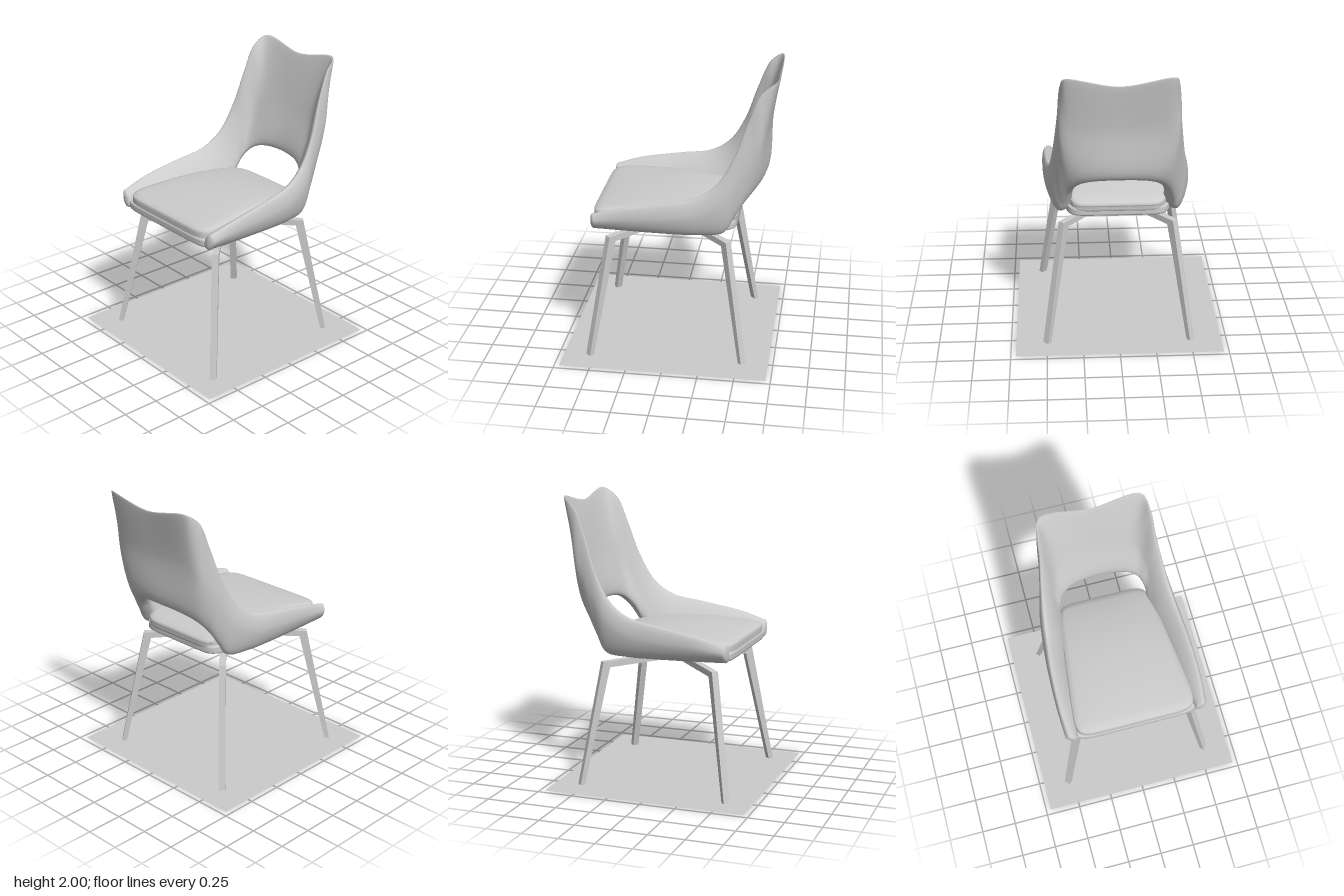
import * as THREE from 'three';
import { mergeVertices } from 'three/addons/utils/BufferGeometryUtils.js';

const grey = new THREE.MeshStandardMaterial({ color: 0xcccccc });
const greyThin = new THREE.MeshStandardMaterial({ color: 0xcccccc, side: THREE.DoubleSide });

function add(parent, name, geometry, material = grey) {
  const mesh = new THREE.Mesh(geometry, material);
  mesh.name = name;
  parent.add(mesh);
  return mesh;
}

// Rails of the shell, from the front of the left arm to the middle of the back
const topRim = [
  [.48, 1.06, .5], [.495, 1.11, .32], [.485, 1.165, .02], [.46, 1.21, -.2], [.44, 1.31, -.34],
  [.42, 1.5, -.45], [.395, 1.73, -.53], [.38, 1.92, -.61], [.345, 1.992, -.7], [0, 1.938, -.705]];
const outerSide = [
  [.505, 1.01, .49], [.513, 1.03, .3], [.508, 1.05, 0], [.493, 1.08, -.2], [.47, 1.17, -.36],
  [.43, 1.31, -.47], [.405, 1.45, -.55], [.375, 1.56, -.62], [.29, 1.62, -.65], [0, 1.62, -.662]];
const outerBottom = [
  [.46, .945, .5], [.46, .94, .3], [.45, .93, 0], [.43, .925, -.22], [.4, .94, -.38],
  [.375, 1.03, -.44], [.345, 1.13, -.5], [.29, 1.215, -.57], [.21, 1.255, -.61], [0, 1.275, -.635]];
const innerBottom = [
  [.42, .95, .5], [.37, .94, .3], [.35, .94, 0], [.32, .95, -.22], [.31, .98, -.34],
  [.315, 1.05, -.4], [.3, 1.13, -.44], [.265, 1.19, -.48], [.19, 1.23, -.51], [0, 1.25, -.53]];
const innerSide = [
  [.43, 1.03, .5], [.41, 1.05, .3], [.38, 1.06, 0], [.35, 1.08, -.22], [.345, 1.13, -.33],
  [.345, 1.24, -.41], [.33, 1.37, -.48], [.29, 1.48, -.55], [.21, 1.55, -.585], [0, 1.58, -.605]];

// Mirror a half rail across x = 0 into one smooth curve
function rail(half) {
  const mirrored = half.slice(0, -1).reverse().map(([x, y, z]) => [-x, y, z]);
  return new THREE.CatmullRomCurve3([...half, ...mirrored].map(p => new THREE.Vector3(...p)));
}

// Skin a list of closed rings
function loft(rings) {
  const n = rings[0].length, index = [];
  for (let i = 0; i < rings.length - 1; i++) {
    for (let j = 0; j < n; j++) {
      const a = i * n + j, b = i * n + (j + 1) % n;
      index.push(a, b, a + n, b, b + n, a + n);
    }
  }
  const geometry = new THREE.BufferGeometry().setFromPoints(rings.flat());
  geometry.setIndex(index);
  geometry.computeVertexNormals();
  return geometry;
}

// Arms and backrest in one sweep, with rounded arm ends
function shellGeometry() {
  const rails = [topRim, outerSide, outerBottom, innerBottom, innerSide].map(rail);
  const rings = [], stations = 120, around = 44;
  for (let i = 0; i <= stations; i++) {
    const section = new THREE.CatmullRomCurve3(rails.map(r => r.getPoint(i / stations)), true);
    rings.push(Array.from({ length: around }, (_, j) => section.getPoint(j / around)));
  }
  const roundEnd = ring => [.3, .55, .75, .9, .98, 1].map(e => {
    const centre = ring.reduce((s, p) => s.add(p), new THREE.Vector3()).divideScalar(around);
    const scale = Math.sqrt(1 - e * e);
    return ring.map(p => {
      const q = p.clone().sub(centre).multiplyScalar(scale).add(centre);
      q.z += .022 * e;
      return q;
    });
  });
  return loft([...roundEnd(rings[0]).reverse(), ...rings, ...roundEnd(rings[stations])]);
}

// Soft-edged slab tapering to the back; shape(x, z) gives the rise of its surface
function padGeometry(frontHalf, backHalf, y0, y1, z0, z1, power, shape) {
  let geometry = new THREE.BoxGeometry(2, 2, 2, 36, 10, 36);
  geometry.deleteAttribute('normal');
  geometry.deleteAttribute('uv');
  geometry = mergeVertices(geometry);
  const pos = geometry.attributes.position, v = new THREE.Vector3();
  for (let i = 0; i < pos.count; i++) {
    v.fromBufferAttribute(pos, i);
    const norm = [v.x, v.y, v.z].reduce((s, c) => s + Math.abs(c) ** power, 0) ** (1 / power);
    v.divideScalar(norm);
    const half = THREE.MathUtils.lerp(backHalf, frontHalf, (v.z + 1) / 2);
    pos.setXYZ(i, v.x * half,
      THREE.MathUtils.lerp(y0, y1, (v.y + 1) / 2) + shape(v.x, v.z, v.y),
      THREE.MathUtils.lerp(z0, z1, (v.z + 1) / 2));
  }
  geometry.computeVertexNormals();
  return geometry;
}

// Bent bar: horizontal arm from the hub, then a splayed tapering leg
function legGeometry(reach) {
  const width = .046;
  const outline = [[0, .895], [0, .85], [.535, .825], [.738, 0], [.772, 0], [.585, .865]];
  const shape = new THREE.Shape(outline.map(([r, y]) => new THREE.Vector2(r * reach, y)));
  return new THREE.ExtrudeGeometry(shape, { depth: width, bevelEnabled: false })
    .translate(0, 0, -width / 2);
}

export function createModel() {
  const chair = new THREE.Group();
  chair.name = 'chair';

  // Upholstery
  add(chair, 'armAndBackShell', shellGeometry());
  add(chair, 'seatCushion', padGeometry(.44, .325, .95, 1.065, -.465, .522, 9,
    (x, z, y) => y > 0 ? .042 * (1 - z * z) * (1 - .4 * x * x) - .03 * Math.min(0, z) ** 2 : 0));
  add(chair, 'seatPan', padGeometry(.475, .345, .93, 1.0, -.46, .527, 9,
    (x, z) => .008 * z));

  // Swivel under the seat
  const swivelProfile = [[0, .87], [.075, .87], [.08, .888], [.115, .892], [.12, .9], [.085, .904],
    [.085, .912], [.125, .916], [.125, .935], [0, .935]];
  add(chair, 'swivel', new THREE.LatheGeometry(
    swivelProfile.map(p => new THREE.Vector2(...p)), 40), greyThin);

  // Legs, the rear pair set slightly closer together
  const feet = [['frontLeftLeg', .535, .535], ['frontRightLeg', -.535, .535],
    ['rearLeftLeg', .502, -.535], ['rearRightLeg', -.502, -.535]];
  for (const [name, x, z] of feet) {
    const leg = add(chair, name, legGeometry(Math.hypot(x, z) / .757));
    leg.rotation.y = -Math.atan2(z, x);
  }

  // Thin floor sheet
  const floor = add(chair, 'floorSheet', new THREE.PlaneGeometry(1.43, 1.43), greyThin);
  floor.rotation.x = -Math.PI / 2;
  floor.position.y = .001;

  return chair;
}
